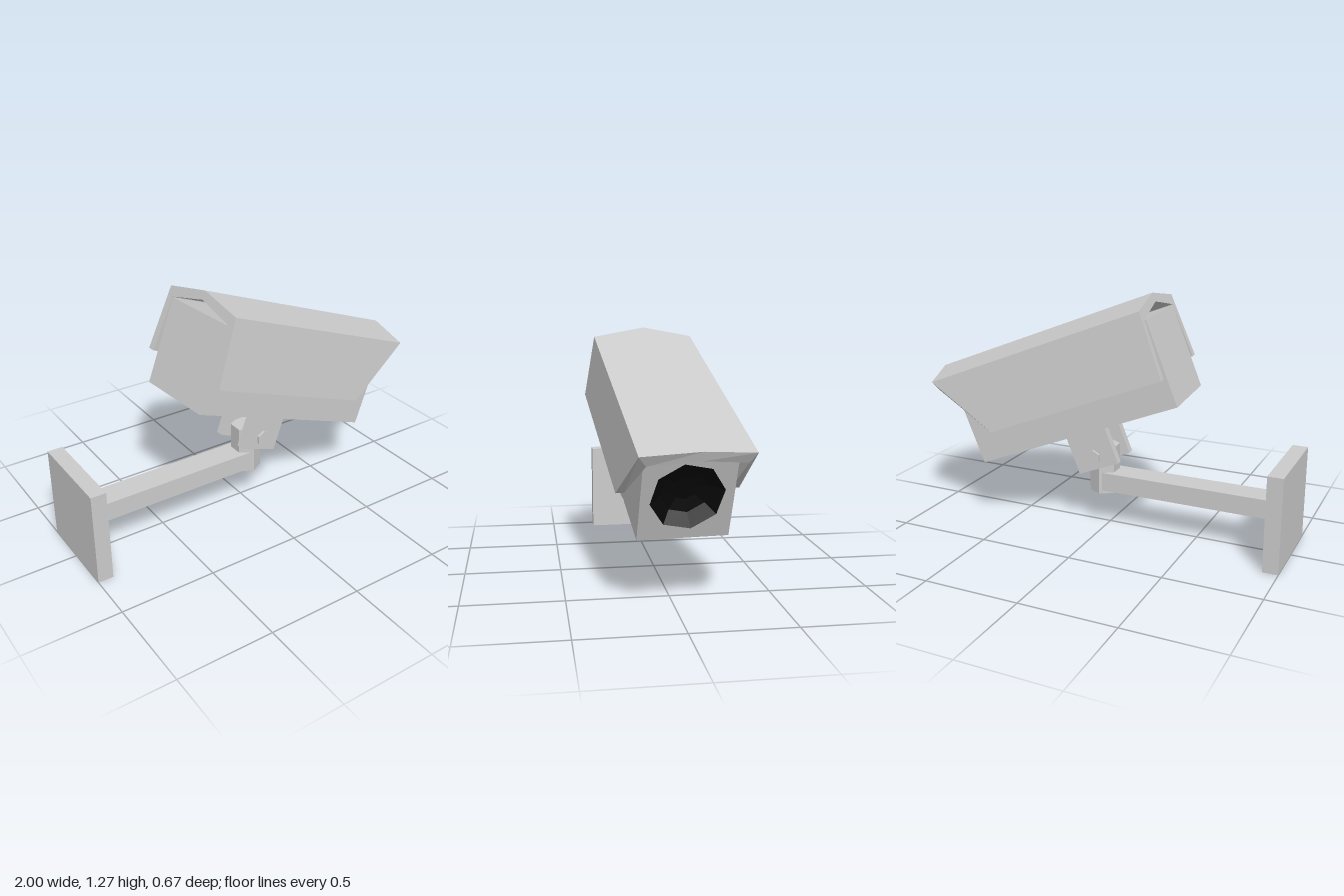
import * as THREE from 'three';

const grey = new THREE.MeshStandardMaterial({ color: 0xcccccc, flatShading: true });
const black = new THREE.MeshStandardMaterial({ color: 0x080808, flatShading: true, side: THREE.DoubleSide });

function add(parent, name, geometry, x = 0, y = 0, z = 0, material = grey) {
  const mesh = new THREE.Mesh(geometry, material);
  mesh.name = name;
  mesh.position.set(x, y, z);
  parent.add(mesh);
  return mesh;
}

// Box from its limits on each axis
function addBox(parent, name, [x0, x1], [y0, y1], [z0, z1]) {
  return add(parent, name, new THREE.BoxGeometry(x1 - x0, y1 - y0, z1 - z0),
    (x0 + x1) / 2, (y0 + y1) / 2, (z0 + z1) / 2);
}

// Gabled sunshade: a folded sheet whose front end is cut back towards the bottom
function hoodGeometry() {
  const outer = [[-0.3, 0.308], [-0.265, 0.655], [0, 0.707], [0.265, 0.655], [0.3, 0.308]];
  const inner = [[0.258, 0.308], [0.23, 0.606], [0, 0.66], [-0.23, 0.606], [-0.258, 0.308]];
  const shape = new THREE.Shape([...outer, ...inner].map(([x, y]) => new THREE.Vector2(x, y)));
  const geo = new THREE.ExtrudeGeometry(shape, { depth: 1, bevelEnabled: false });
  const p = geo.attributes.position;
  for (let i = 0; i < p.count; i++) {
    const front = Math.abs(p.getX(i)) < 0.01 ? 0.731 : p.getY(i) > 0.5 ? 0.671 : 0.416;
    p.setZ(i, p.getZ(i) > 0.5 ? front : -0.58);
  }
  geo.rotateY(Math.PI / 2);
  geo.computeVertexNormals();
  return geo;
}

// Front section of the housing with an eight-sided opening
function frontGeometry(halfWidth, bottom, top, radius, depth) {
  const shape = new THREE.Shape([[-1, bottom], [1, bottom], [1, top], [-1, top]]
    .map(([s, y]) => new THREE.Vector2(s * halfWidth, y)));
  const hole = [];
  for (let i = 0; i < 8; i++) {
    const a = THREE.MathUtils.degToRad(100 + i * 45);
    hole.push(new THREE.Vector2(radius * Math.cos(a), (bottom + top) / 2 + radius * Math.sin(a)));
  }
  shape.holes.push(new THREE.Path(hole));
  return new THREE.ExtrudeGeometry(shape, { depth, bevelEnabled: false }).rotateY(Math.PI / 2);
}

export function createModel() {
  const model = new THREE.Group();
  model.name = 'securityCamera';
  const root = new THREE.Group();
  root.name = 'assembly';
  root.position.z = 0.004;
  model.add(root);

  // Wall mount
  addBox(root, 'wallPlate', [-1, -0.92], [0, 0.495], [-0.247, 0.247]);
  addBox(root, 'arm', [-0.92, 0.02], [0.2, 0.3], [-0.072, 0.072]);
  add(root, 'post', new THREE.CylinderGeometry(0.08, 0.08, 0.26, 6), 0.033, 0.312, 0);

  // Hinge pin, yawed with the camera head
  const yaw = 0.073, pitch = 0.375;
  const pin = add(root, 'hingePin',
    new THREE.CylinderGeometry(0.042, 0.042, 0.25, 6).rotateX(Math.PI / 2), 0.06, 0.397, 0);
  pin.rotation.y = yaw;

  // Camera head, tilted down about the hinge
  const head = new THREE.Group();
  head.name = 'cameraHead';
  head.position.set(0.06, 0.4, 0);
  head.rotation.set(0, yaw, -pitch, 'YZX');
  root.add(head);

  for (const s of [-1, 1]) {
    addBox(head, s > 0 ? 'leftHingePlate' : 'rightHingePlate',
      [-0.122, 0.11], [-0.071, 0.16], s > 0 ? [0.068, 0.112] : [-0.112, -0.068]);
  }

  // Housing and its recessed lens
  const bottom = 0.15, top = 0.604, front = 0.576, depth = 0.1;
  addBox(head, 'housing', [-0.583, front - depth], [bottom, top], [-0.22, 0.22]);
  add(head, 'housingFront', frontGeometry(0.22, bottom, top, 0.177, depth), front - depth);
  const dish = [[0, -0.07], [0.06, -0.07], [0.12, -0.05], [0.177, 0.002]]
    .map(([r, y]) => new THREE.Vector2(r, y));
  const lens = new THREE.LatheGeometry(dish, 8, THREE.MathUtils.degToRad(-80)).rotateZ(-Math.PI / 2);
  add(head, 'lens', lens, front, (bottom + top) / 2, 0, black);

  add(head, 'sunshade', hoodGeometry());
  return model;
}
